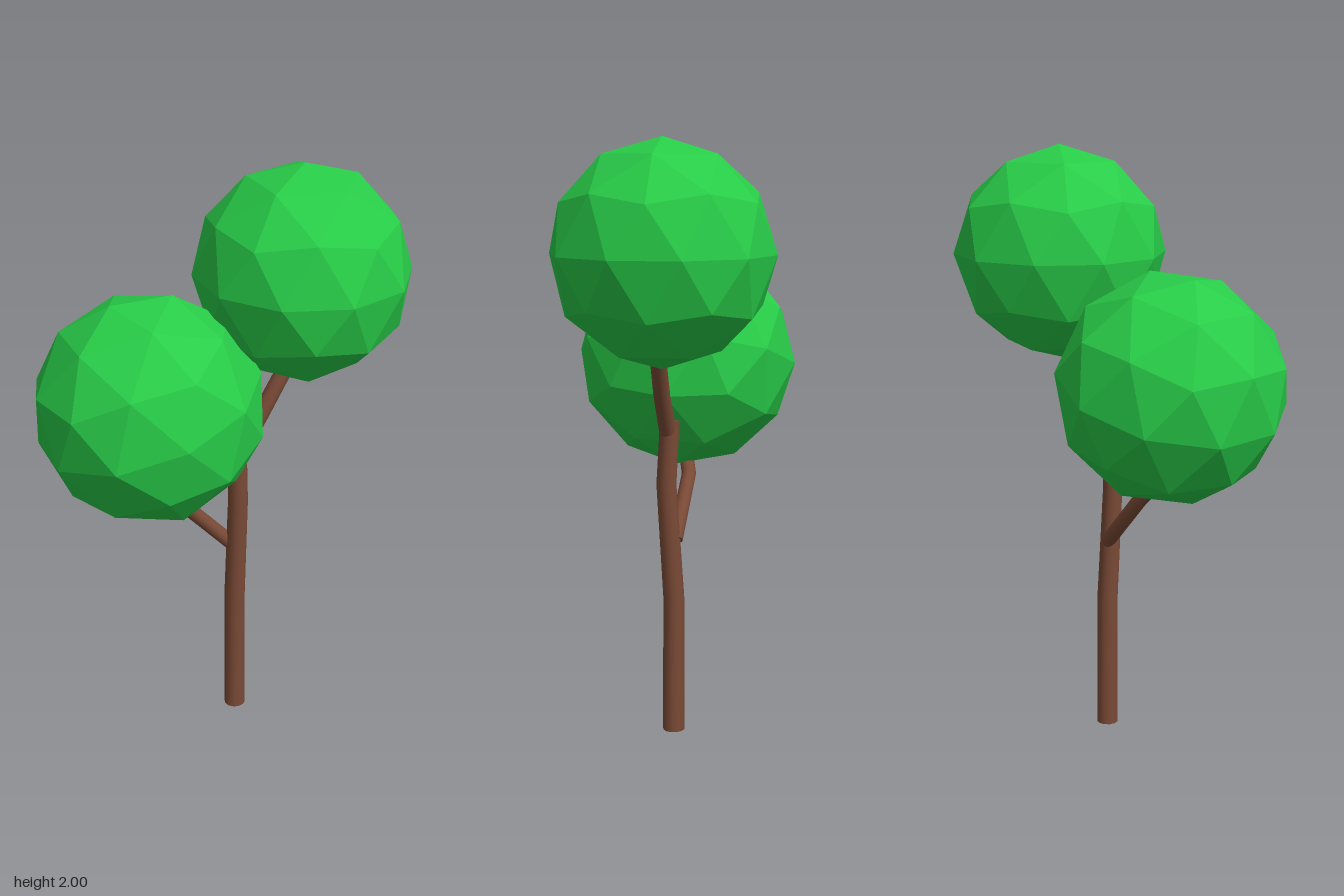
import * as THREE from 'three';

const bark = new THREE.MeshStandardMaterial({ color: 0x7a4a36 });
const leaf = new THREE.MeshStandardMaterial({ color: 0x28cc48, flatShading: true });

// Round limb swept through a few points [x, y, z, radius], closed at both ends
function limb(name, path, sides = 12) {
  const centres = path.map(p => new THREE.Vector3(p[0], p[1], p[2]));
  const positions = [];
  const index = [];
  const last = path.length - 1;
  centres.forEach((c, i) => {
    const along = centres[Math.min(i + 1, last)].clone().sub(centres[Math.max(i - 1, 0)]).normalize();
    if (i === 0 && c.y === 0) along.set(0, 1, 0); // flat foot on the ground
    const u = new THREE.Vector3(0, 0, 1).cross(along).normalize().negate();
    const v = u.clone().cross(along);
    for (let s = 0; s < sides; s++) {
      const a = (s / sides) * Math.PI * 2;
      const p = c.clone()
        .addScaledVector(u, Math.cos(a) * path[i][3])
        .addScaledVector(v, Math.sin(a) * path[i][3]);
      positions.push(p.x, p.y, p.z);
    }
  });
  for (let i = 0; i < last; i++) {
    for (let s = 0; s < sides; s++) {
      const a = i * sides + s;
      const b = i * sides + (s + 1) % sides;
      index.push(a, a + sides, b, b, a + sides, b + sides);
    }
  }
  // End caps have their own rings so the rim stays sharp
  for (const end of [0, last]) {
    const base = positions.length / 3;
    positions.push(...positions.slice(end * sides * 3, (end + 1) * sides * 3));
    for (let s = 1; s < sides - 1; s++) {
      if (end === 0) index.push(base, base + s, base + s + 1);
      else index.push(base, base + s + 1, base + s);
    }
  }
  const geometry = new THREE.BufferGeometry();
  geometry.setAttribute('position', new THREE.Float32BufferAttribute(positions, 3));
  geometry.setIndex(index);
  geometry.computeVertexNormals();
  const mesh = new THREE.Mesh(geometry, bark);
  mesh.name = name;
  return mesh;
}

// Faceted ball of leaves with one corner pointing up before it is turned
function foliage(name, radius, centre, roll = 0, tiltX = 0, tiltY = 0) {
  const geometry = new THREE.IcosahedronGeometry(radius, 1);
  geometry.rotateZ(roll - Math.atan(2 / (1 + Math.sqrt(5))));
  geometry.rotateX(tiltX);
  geometry.rotateY(tiltY);
  const mesh = new THREE.Mesh(geometry, leaf);
  mesh.name = name;
  mesh.position.set(...centre);
  return mesh;
}

export function createModel() {
  const tree = new THREE.Group();
  tree.name = 'tree';
  tree.add(
    limb('trunk', [
      [0.047, 0, 0, 0.037],
      [0.045, 0.47, 0, 0.036],
      [0.045, 0.86, 0.025, 0.034],
      [0.045, 1.08, 0.013, 0.033],
    ]),
    limb('upperBranch', [
      [0.045, 1.03, 0.018, 0.03],
      [0.125, 1.17, 0.027, 0.028],
      [0.2, 1.3, 0.027, 0.027],
      [0.28, 1.45, 0.01, 0.025],
    ]),
    limb('lowerBranch', [
      [0.04, 0.67, -0.005, 0.025],
      [-0.14, 0.86, -0.025, 0.025],
      [-0.25, 0.98, 0.01, 0.024],
    ]),
    foliage('upperFoliage', 0.36, [0.28, 1.64, 0]),
    foliage('lowerFoliage', 0.38, [-0.26, 1.255, 0], Math.PI / 10, -0.04, -0.04),
  );
  return tree;
}
